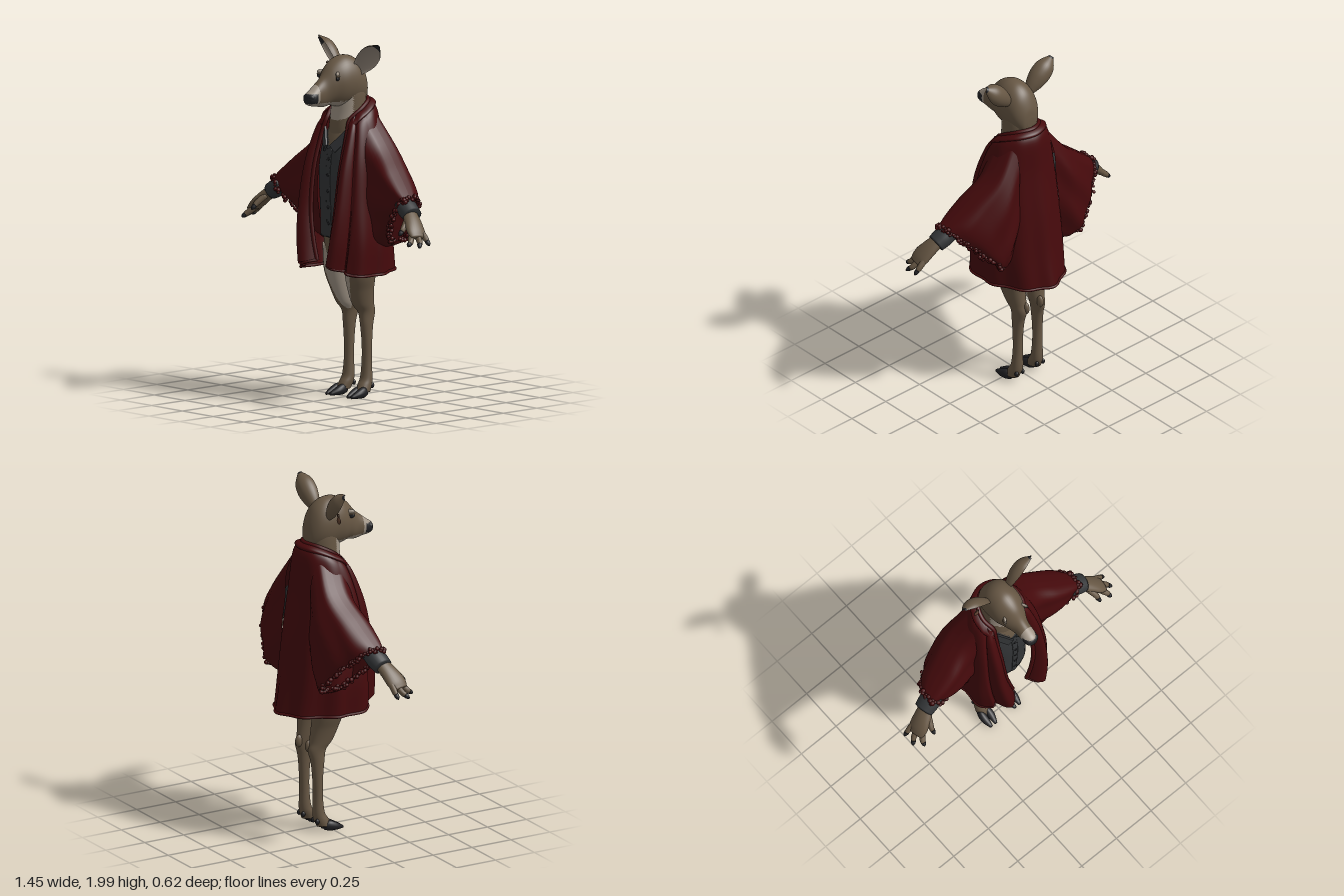
import * as THREE from 'three';
import { mergeGeometries } from 'three/addons/utils/BufferGeometryUtils.js';

const mat = (name, color, side = THREE.FrontSide) =>
  Object.assign(new THREE.MeshStandardMaterial({ color, side }), { name });
const V = (x, y, z) => new THREE.Vector3(x, y, z);
const UP = V(0, 1, 0), DOWN = V(0, -1, 0), X = V(1, 0, 0), Z = V(0, 0, 1);

// Smooth grid surface from point rows; optionally closed around each row
function grid(rows, closed) {
  const n = rows[0].length, pos = rows.flat().flatMap(p => [p.x, p.y, p.z]), idx = [];
  for (let i = 0; i < rows.length - 1; i++)
    for (let j = 0; j < (closed ? n : n - 1); j++) {
      const k = (j + 1) % n, a = i * n + j, b = i * n + k, c = b + n, d = a + n;
      idx.push(a, b, c, a, c, d);
    }
  const g = new THREE.BufferGeometry();
  g.setAttribute('position', new THREE.Float32BufferAttribute(pos, 3));
  g.setIndex(idx);
  g.computeVertexNormals();
  return g;
}

const steps = n => Array.from({ length: n + 1 }, (_, i) => i / n);
const smooth = pts => {
  const c = new THREE.CatmullRomCurve3(pts, false, 'catmullrom', 0.5);
  return t => c.getPoint(t);
};

// Elliptical sections [x, y, z, halfWidth, halfDepth] swept along a smooth path
function sweep(data, hint, fixedT, segs = 24, per = 5) {
  const centre = smooth(data.map(r => V(r[0], r[1], r[2])));
  const radius = smooth(data.map(r => V(r[3], r[4], 0)));
  const count = (data.length - 1) * per, rows = [];
  for (let i = -1; i <= count + 1; i++) {
    const t = THREE.MathUtils.clamp(i / count, 0, 1), c = centre(t), r = radius(t);
    const T = fixedT || centre(Math.min(1, t + 0.01)).sub(centre(Math.max(0, t - 0.01))).normalize();
    const A = hint.clone().addScaledVector(T, -hint.dot(T)).normalize();
    const B = T.clone().cross(A), open = i < 0 || i > count ? 0 : 1;
    rows.push(Array.from({ length: segs }, (_, j) => {
      const a = j / segs * Math.PI * 2;
      return c.clone().addScaledVector(A, open * Math.max(r.x, 0.001) * Math.cos(a))
        .addScaledVector(B, open * Math.max(r.y, 0.001) * Math.sin(a));
    }));
  }
  return grid(rows, true);
}

// Sort triangles into material groups by their centroid
function paint(g, pick, count) {
  const p = g.attributes.position, ix = g.index.array, lists = Array.from({ length: count }, () => []);
  for (let i = 0; i < ix.length; i += 3) {
    const c = V(0, 0, 0);
    for (let k = 0; k < 3; k++) c.add(V(p.getX(ix[i + k]), p.getY(ix[i + k]), p.getZ(ix[i + k])));
    lists[pick(c.divideScalar(3))].push(ix[i], ix[i + 1], ix[i + 2]);
  }
  g.setIndex(lists.flat());
  let start = 0;
  lists.forEach((l, m) => { g.addGroup(start, l.length, m); start += l.length; });
  return g;
}

export function createModel() {
  const fur = mat('brown fur', 0x675744), pale = mat('pale fur', 0xa09486);
  const dark = mat('black hoof and nose', 0x212124), shirtMat = mat('charcoal shirt', 0x343638);
  const red = mat('dark red wool', 0x460a0c, THREE.DoubleSide), copper = mat('copper', 0x5e3f2e);
  const earFur = mat('ear fur', 0x675744, THREE.DoubleSide), earPale = mat('ear lining', 0x8f8377, THREE.DoubleSide);
  const earTip = mat('black ear tip', 0x212124, THREE.DoubleSide);
  const model = new THREE.Group(), side = new THREE.Group();
  const add = (parent, name, geo, m) => {
    const mesh = new THREE.Mesh(geo, m);
    mesh.name = name;
    parent.add(mesh);
    return mesh;
  };
  const ball = (parent, name, m, x, y, z, sx, sy, sz, ry = 0) => {
    const b = add(parent, name, new THREE.SphereGeometry(1, 20, 14), m);
    b.position.set(x, y, z); b.scale.set(sx, sy, sz); b.rotation.y = ry;
  };

  // Head, back of skull to muzzle
  const head = sweep([[0, 1.70, -.115, .025, .03], [0, 1.71, -.105, .055, .08], [0, 1.74, -.07, .085, .12],
    [0, 1.755, -.02, .1, .145], [0, 1.765, .04, .1, .145], [0, 1.762, .09, .092, .133], [0, 1.75, .14, .07, .11],
    [0, 1.717, .19, .047, .083], [0, 1.702, .24, .042, .058], [0, 1.692, .27, .041, .044],
    [0, 1.688, .293, .034, .032], [0, 1.685, .304, .018, .016]], X, Z, 48, 8);
  add(model, 'head', paint(head, c => {
    if (c.z > .25 && c.y > 1.664 && c.y < 1.718) return 2;
    return c.z > .235 || (c.z > .04 && c.y < 1.662) ? 1 : 0;
  }, 3), [fur, pale, dark]);
  ball(model, 'nose', dark, 0, 1.698, .281, .041, .024, .024);
  const neck = sweep([[0, 1.38, -.01, .11, .11], [0, 1.5, -.01, .105, .108], [0, 1.6, -.012, .098, .098],
    [0, 1.7, -.012, .095, .094], [0, 1.78, 0, .085, .08]], X, UP, 48, 10);
  add(model, 'neck', paint(neck, c => c.z > .03 && c.y > 1.55 + c.x * c.x * 4 ? 1 : 0, 2), [fur, pale]);

  // Shirt with open neck, placket, buttons
  const shirt = sweep([[0, .9, .02, .15, .11], [0, 1.05, .02, .15, .115], [0, 1.25, .02, .16, .12],
    [0, 1.4, 0, .15, .125], [0, 1.5, -.02, .12, .11], [0, 1.56, -.02, .1, .09]], X, UP, 48, 10);
  add(model, 'shirt', paint(shirt, c => c.z > 0 && c.y > 1.4 + Math.abs(c.x) * 1.4 ? 1 : 0, 2), [shirtMat, fur]);
  add(model, 'placket', sweep([[0, .905, .131, .018, .004], [0, 1.05, .136, .018, .004], [0, 1.25, .141, .018, .004],
    [0, 1.4, .126, .018, .004]], X, UP, 10), shirtMat);
  for (const [y, z] of [[.98, .138], [1.07, .142], [1.16, .145], [1.25, .146], [1.34, .138]])
    ball(model, 'button', dark, 0, y, z, .009, .009, .004);

  // Hips
  add(model, 'hips', sweep([[0, .7, 0, .03, .05], [0, .76, -.005, .1, .09], [0, .83, 0, .14, .105],
    [0, .93, .01, .142, .105]], X, UP), fur);

  // Shawl body: open rings [backY, frontY, halfWidth, frontZ, backZ, halfGap]
  const wrap = [[1.665, 1.51, .11, .095, .125, .09], [1.6, 1.43, .17, .135, .17, .1], [1.4, 1.26, .215, .2, .19, .105],
    [1.13, 1.06, .24, .24, .23, .1], [.9, .9, .255, .255, .26, .075], [.705, .78, .245, .26, .295, .05]];
  const wrapA = smooth(wrap.map(r => V(r[0], r[1], r[2]))), wrapB = smooth(wrap.map(r => V(r[3], r[4], r[5])));
  const drape = (u, v, lift = 0) => {
    const a = wrapA(v), b = wrapB(v), gap = Math.asin(Math.min(1, b.z / a.z));
    const phi = gap + u * 2 * (Math.PI - gap), c = Math.cos(phi), e = Math.min(u, 1 - u);
    const fold = 1 + .03 * v * Math.cos(10 * phi) * Math.min(1, 8 * e);
    // Front edges turn inward and a groove parts each front panel from the hip
    const tuck = v * (.08 * Math.max(0, 1 - e / .05) ** 2 + .05 * Math.exp(-(((e - .085) / .02) ** 2)));
    const p = V(a.z * Math.sin(phi) * fold, a.x + (a.y - a.x) * ((1 + c) / 2) ** (1.5 + 6 * v * v),
      (c > 0 ? b.x * c ** .75 : -b.y * (-c) ** (1 + .4 * v)) * fold - tuck);
    return p.addScaledVector(V(Math.sin(phi), .3, c), lift);
  };
  add(model, 'shawlBody', grid(steps(40).map(v => steps(160).map(u => drape(u, v))), false), red);

  // Thick lapels down both fronts joined by a rolled collar, and the hem roll
  const puff = s => .018 * Math.sqrt(Math.max(0, Math.sin(Math.PI * s)));
  for (const flip of [s => s, s => 1 - s])
    add(model, 'lapel', grid(steps(40).map(v => steps(16).map(s => drape(flip(s * .085), v, puff(s)))), false), red);
  add(model, 'collarRoll', grid(steps(60).map(u => steps(12).map(s => drape(u, s * .13, puff(s)))), false), red);
  const tube = (name, pts, r) =>
    add(model, name, new THREE.TubeGeometry(new THREE.CatmullRomCurve3(pts), 120, r, 10), red);
  tube('shawlEdge', [...steps(8).reverse().map(v => drape(0, v)), ...[.15, .3, .5, .7, .85].map(u => drape(u, 0)),
    ...steps(8).map(v => drape(1, v))], .012);
  tube('hem', steps(80).map(u => drape(u, 1)), .008);

  // Batwing sleeve between an upper and a lower line
  const top = smooth([V(.12, 1.605, -.04), V(.25, 1.43, -.06), V(.385, 1.305, -.025), V(.48, 1.22, .0), V(.535, 1.17, .02)]);
  const low = smooth([V(.16, .85, -.05), V(.22, .85, -.085), V(.25, .86, -.1), V(.265, .87, -.115), V(.27, .885, -.13)]);
  const wide = smooth([.13, .135, .135, .12, .09].map(w => V(w, 0, 0)));
  const sleeve = (u, a) => {
    const p = top(u), q = low(u), h = p.clone().sub(q).multiplyScalar(.5 * Math.cos(a));
    const w = wide(u).x * (1 + .05 * Math.cos(7 * a + 5 * u));
    return p.add(q).multiplyScalar(.5).add(h).add(V(0, 0, w * Math.sign(Math.sin(a)) * Math.abs(Math.sin(a)) ** .55));
  };
  add(side, 'shawlSleeve', grid(steps(24).map(u => steps(60).map(t => sleeve(u, t * Math.PI * 2))), false), red);

  // Woolly fringe on the sleeve opening
  let seed = 7;
  const rnd = () => (seed = (seed * 16807) % 2147483647) / 2147483647;
  const tufts = steps(139).map(t => {
    const p = sleeve(1, t * Math.PI * 2), r = .007 + rnd() * .007;
    return new THREE.IcosahedronGeometry(r, 1)
      .translate(p.x + (rnd() - .5) * .024, p.y + (rnd() - .6) * .024, p.z + (rnd() - .5) * .024);
  });
  add(side, 'fringe', mergeGeometries(tufts), red);

  // Shirt sleeve and cuff
  add(side, 'shirtSleeve', sweep([[.22, 1.31, -.05, .05, .05], [.4, 1.18, -.01, .05, .05], [.5, 1.125, .02, .055, .05]], Z), shirtMat);
  add(side, 'cuff', sweep([[.485, 1.135, .018, .058, .052], [.53, 1.105, .028, .061, .052], [.572, 1.08, .036, .056, .047]], Z), shirtMat);

  // Hand, fingers and claws
  add(side, 'palm', sweep([[.54, 1.1, .033, .04, .032], [.6, 1.05, .058, .052, .031], [.645, 1.005, .077, .058, .026],
    [.675, .975, .085, .046, .014]], Z), fur);
  const fingers = [[[.645, 1.005, .042], [.685, .968, .042], [.722, .932, .045]],
    [[.65, .99, .075], [.69, .955, .09], [.72, .926, .118]],
    [[.64, .985, .105], [.665, .955, .135], [.675, .935, .165]],
    [[.575, 1.06, .08], [.595, 1.02, .125], [.6, .985, .162]]];
  for (const [a, b, c] of fingers) {
    add(side, 'finger', sweep([[...a, .018, .018], [...b, .017, .016], [...c.map((v, i) => (v + b[i]) / 2), .012, .012]], UP, null, 12), fur);
    add(side, 'claw', sweep([[...b.map((v, i) => v * .6 + c[i] * .4), .0145, .0145],
      [...b.map((v, i) => v * .25 + c[i] * .75), .0115, .011], [...c, .002, .002]], UP, null, 12), dark);
  }

  // Leg with pale inner thigh
  const leg = sweep([[.08, .85, -.015, .08, .1], [.083, .7, -.022, .077, .093], [.072, .6, -.038, .06, .082],
    [.066, .52, -.06, .047, .07], [.067, .47, -.085, .036, .055], [.07, .4, -.083, .031, .04], [.072, .3, -.083, .028, .03],
    [.072, .2, -.082, .028, .028], [.073, .11, -.078, .034, .034], [.075, .07, -.065, .037, .042],
    [.08, .03, -.045, .036, .046]], X, DOWN, 48, 10);
  add(side, 'leg', paint(leg, c => c.y > .48 && c.z > -.06 && c.x < .04 + .28 * (c.y - .48) ? 1 : 0, 2), [fur, pale]);
  ball(side, 'hockKnob', fur, .052, .495, -.127, .017, .036, .024);
  for (const s of [-1, 1]) {
    add(side, 'hoof', sweep([[.082 + s * .014, .03, -.055, .018, .022], [.083 + s * .02, .03, -.025, .022, .03],
      [.084 + s * .021, .022, .015, .021, .022], [.086 + s * .016, .01, .06, .009, .008]], X, Z, 16), dark);
    ball(side, 'dewclaw', dark, .075 + s * .022, .062, -.1, .011, .016, .012);
  }

  // Eye with lid and pale brow
  ball(side, 'brow', pale, .066, 1.819, .13, .008, .013, .026, .5);
  ball(side, 'eye', dark, .07, 1.796, .132, .009, .014, .022, .5);
  ball(side, 'eyelid', fur, .0705, 1.806, .132, .01, .005, .024, .5);

  // Cupped ear turned outward: lining in front, fur behind, dark tip
  const base = V(.072, 1.828, -.018), along = V(.166, .157, -.005);
  const across = V(.58, -.61, -.54).normalize(), face = V(.37, -.39, .84).normalize();
  const width = smooth([.03, .05, .059, .05, .012].map(w => V(w, 0, 0)));
  const ear = depth => grid(steps(24).map(u => steps(16).map(t => {
    const c = Math.cos(t * Math.PI), w = width(u).x;
    return base.clone().addScaledVector(along, u).addScaledVector(across, c * w)
      .addScaledVector(face, .018 - depth * w * Math.sqrt(Math.max(0, 1 - c * c)));
  })), false);
  const isTip = limit => c => (c.sub(base).dot(along) / along.lengthSq() > limit ? 1 : 0);
  add(side, 'earBack', paint(ear(.95), isTip(.95), 2), [earFur, earTip]);
  add(side, 'earLining', paint(ear(.6), isTip(.84), 2), [earPale, earTip]);

  // Shirt collar point
  const flap = new THREE.Shape([[0, 0], [.035, -.035], [.1, .05], [.08, .1]].map(p => new THREE.Vector2(...p)));
  const collar = add(side, 'collarPoint', new THREE.ExtrudeGeometry(flap, { depth: .012, bevelEnabled: false }), shirtMat);
  collar.position.set(.01, 1.415, .135);
  collar.rotation.set(-.2, .5, 0);

  // Mirror everything paired
  side.name = 'leftSide';
  const right = side.clone();
  right.name = 'rightSide';
  right.scale.x = -1;
  model.add(side, right);

  // Earring on the right ear
  add(model, 'earringHoop', new THREE.TorusGeometry(.009, .003, 8, 20), copper).position.set(-.155, 1.842, 0);
  ball(model, 'earringDrop', copper, -.16, 1.815, 0, .018, .02, .008);
  return model;
}
